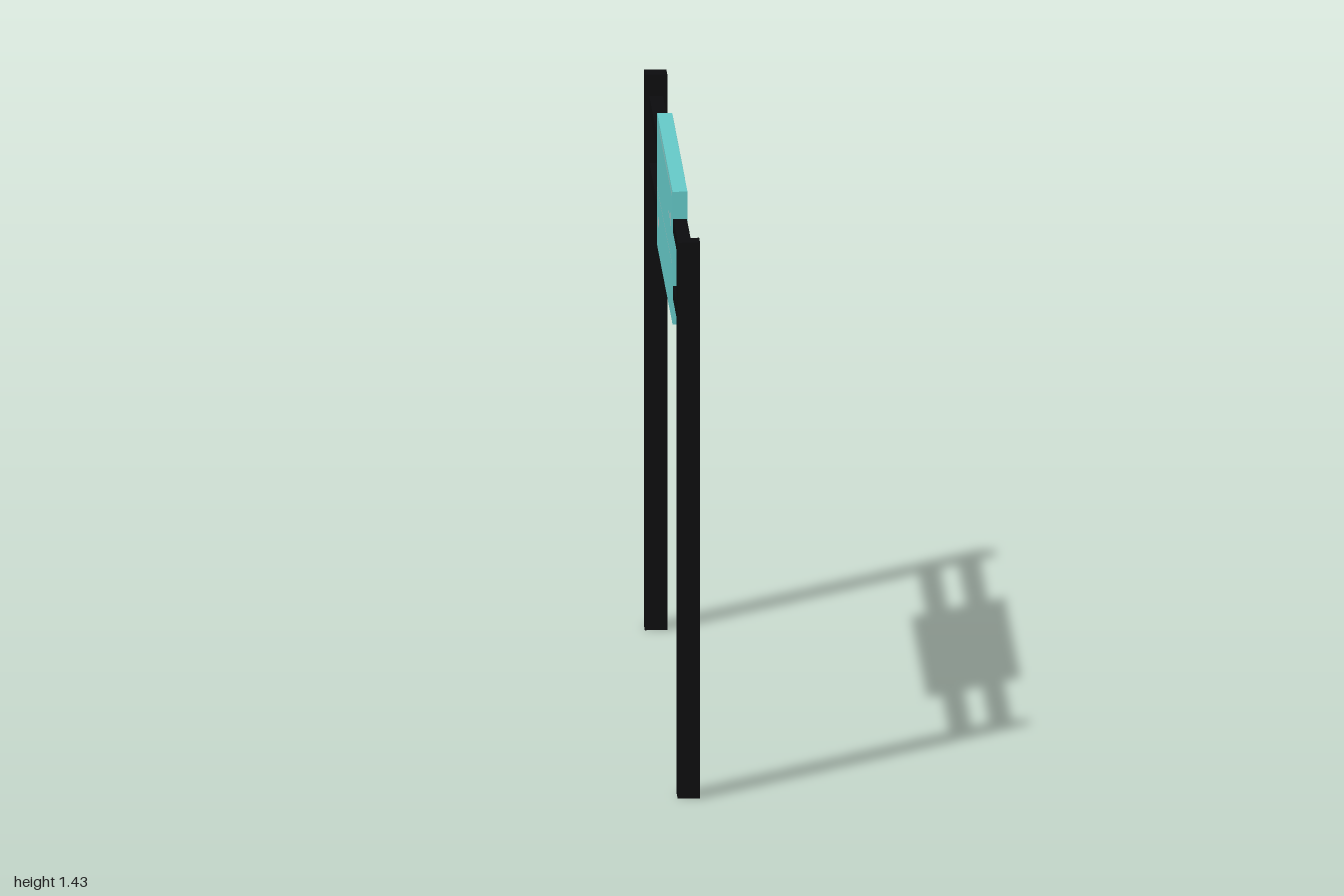
import * as THREE from 'three';

const mat = (name, color, side = THREE.FrontSide) => {
  const m = new THREE.MeshStandardMaterial({ color, side });
  m.name = name;
  return m;
};

function addMesh(parent, name, geometry, material, x, y, z) {
  const mesh = new THREE.Mesh(geometry, material);
  mesh.name = name;
  mesh.position.set(x, y, z);
  parent.add(mesh);
  return mesh;
}

const plate = (points) =>
  new THREE.ShapeGeometry(new THREE.Shape(points.map(([x, y]) => new THREE.Vector2(x, y))));

export function createModel() {
  const black = mat('black metal', 0x0c0c0e);
  const teal = mat('teal panel', 0x66cccb);
  const pale = mat('pale grey marking', 0xbcc5c4, THREE.DoubleSide);
  const paleTeal = mat('pale teal trim', 0x8fc9c7, THREE.DoubleSide);

  const model = new THREE.Group();
  model.name = 'gantrySign';

  // Square posts at both ends
  const postGeo = new THREE.BoxGeometry(0.056, 1.416, 0.056);
  for (const s of [1, -1]) {
    addMesh(model, s > 0 ? 'frontPost' : 'backPost', postGeo, black, 0, 0.708, s * 0.972);
  }

  // Two rails running between the posts
  const railGeo = new THREE.BoxGeometry(0.034, 0.036, 1.9);
  addMesh(model, 'upperRail', railGeo, black, 0, 1.343, 0);
  addMesh(model, 'lowerRail', railGeo, black, 0, 1.172, 0);

  // Sign panel, a little off centre along the rails
  const sign = new THREE.Group();
  sign.name = 'sign';
  sign.position.set(0, 1.261, 0.02);
  model.add(sign);
  addMesh(sign, 'signPanel', new THREE.BoxGeometry(0.037, 0.338, 0.91), teal, 0, 0, 0);

  // Painted markings, the same on each face
  const arrow = plate([
    [0.25, 0.07], [0.325, 0.07], [0.32, 0.052], [0.337, 0.054], [0.366, 0.074],
    [0.337, 0.094], [0.32, 0.096], [0.325, 0.077], [0.25, 0.077],
  ]);
  const smallArrow = plate([
    [-0.382, -0.088], [-0.36, -0.11], [-0.342, -0.108], [-0.344, -0.1],
    [-0.328, -0.088], [-0.344, -0.076], [-0.342, -0.068], [-0.36, -0.066],
  ]);
  const line = new THREE.PlaneGeometry(0.89, 0.004);
  const edge = new THREE.PlaneGeometry(0.74, 0.012);
  const sideEdge = new THREE.PlaneGeometry(0.008, 0.16);
  for (const s of [1, -1]) {
    const face = new THREE.Group();
    face.name = s > 0 ? 'leftFaceMarkings' : 'rightFaceMarkings';
    face.rotation.y = s * Math.PI / 2;
    face.position.x = s * 0.0195;
    sign.add(face);
    addMesh(face, 'arrow', arrow, pale, 0, 0, 0);
    addMesh(face, 'smallArrow', smallArrow, pale, 0, 0, 0);
    addMesh(face, 'dividingLine', line, paleTeal, 0, -0.016, 0);
    addMesh(face, 'topEdge', edge, paleTeal, 0.075, 0.16, 0);
    addMesh(face, 'sideEdge', sideEdge, paleTeal, 0.449, 0.074, 0);
  }

  return model;
}
